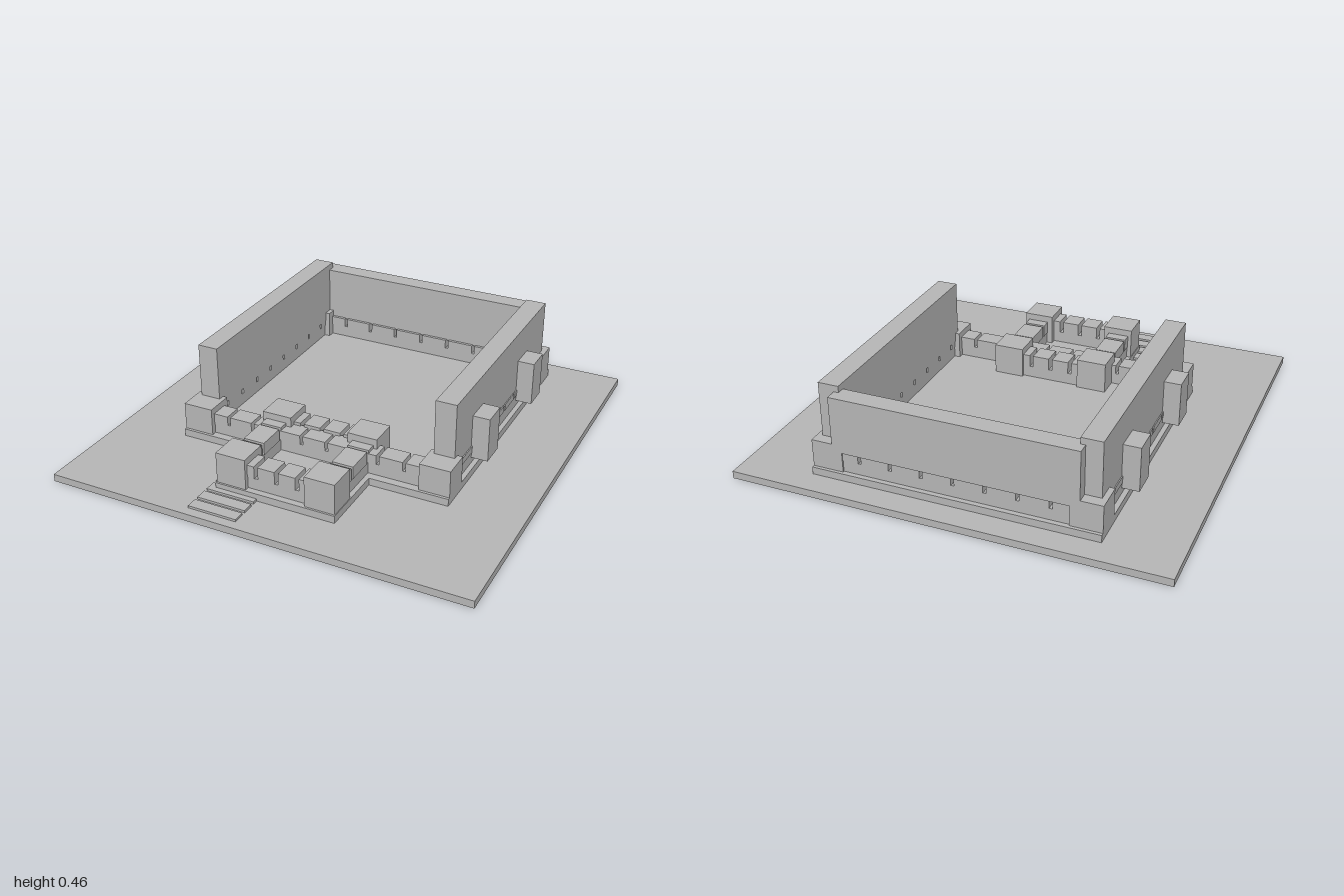
import * as THREE from 'three';

export function createModel() {
  const model = new THREE.Group();
  model.name = 'walledCourtyard';
  const stone = new THREE.MeshStandardMaterial({ color: 0xb4b4b4 });
  stone.name = 'grey stone';

  // box given by its limits on each axis
  function block(name, x0, x1, y0, y1, z0, z1, parent = model) {
    const mesh = new THREE.Mesh(new THREE.BoxGeometry(x1 - x0, y1 - y0, z1 - z0), stone);
    mesh.name = name;
    mesh.position.set((x0 + x1) / 2, (y0 + y1) / 2, (z0 + z1) / 2);
    parent.add(mesh);
  }

  // low wall along 'x' or 'z': a solid sill with blocks above, parted by narrow slots
  function slottedWall(name, axis, from, to, near, far, top, slots, gap = 0.015) {
    const wall = new THREE.Group();
    wall.name = name;
    const part = (label, a, b, y0, y1, inset) => axis === 'x'
      ? block(label, a, b, y0, y1, near + inset, far - inset, wall)
      : block(label, near + inset, far - inset, y0, y1, a, b, wall);
    part('sill', from, to, 0.07, 0.125, 0.003);
    let start = from;
    for (const s of [...slots, to + gap / 2]) {
      part('merlon', start, s - gap / 2, 0.125, top, 0);
      start = s + gap / 2;
    }
    model.add(wall);
  }

  const series = (count, first, step) => Array.from({ length: count }, (_, i) => first + i * step);

  // ground and raised plinth
  block('ground', -1, 1, 0, 0.035, -1, 1);
  block('plinth', -0.665, 0.665, 0.035, 0.07, -0.883, 0.455);
  block('gatePlinth', -0.29, 0.29, 0.035, 0.07, 0.455, 0.782);

  // flat steps in front of the gate
  for (let i = 0; i < 4; i++) {
    const z = 0.68 + i * 0.0735;
    block('step', -0.32, -0.085, 0.035, 0.046, z, z + 0.055);
  }

  // low slotted walls around the court
  slottedWall('frontWall', 'x', -0.53, 0.53, 0.332, 0.42, 0.17, series(8, -0.441, 0.126));
  slottedWall('backWall', 'x', -0.53, 0.53, -0.863, -0.765, 0.17, series(7, -0.438, 0.146));
  const sideSlots = series(8, -0.678, 0.134);
  slottedWall('rightWall', 'z', -0.74, 0.32, -0.645, -0.545, 0.157, sideSlots);
  slottedWall('leftWall', 'z', -0.74, 0.32, 0.545, 0.645, 0.157, sideSlots);

  // high back wall resting on the low one
  block('highBackWall', -0.565, 0.565, 0.165, 0.43, -0.87, -0.78);

  // gate court walls
  slottedWall('gateFrontWall', 'x', -0.15, 0.15, 0.66, 0.755, 0.185, [-0.1, 0, 0.1], 0.018);
  slottedWall('gateBackWall', 'x', -0.15, 0.15, 0.245, 0.342, 0.185, [-0.1, 0, 0.1], 0.018);

  for (const side of [-1, 1]) {
    const mirrored = (name, a, b, ...rest) =>
      block(name, Math.min(side * a, side * b), Math.max(side * a, side * b), ...rest);

    // corner piers
    mirrored('frontCornerPier', 0.52, 0.665, 0.07, 0.2, 0.305, 0.442);
    mirrored('backCornerPier', 0.52, 0.665, 0.07, 0.2, -0.868, -0.73);

    // high side wall and the turrets hung on it
    mirrored('highSideWall', 0.542, 0.64, 0.155, 0.46, -0.817, 0.335);
    for (const z of [-0.57, 0.013]) {
      mirrored('turret', 0.63, 0.72, 0.098, 0.31, z, z + 0.126);
    }

    // gate piers and the walls joining them
    mirrored('gateFrontPier', 0.143, 0.287, 0.07, 0.217, 0.632, 0.773);
    mirrored('gateBackPier', 0.143, 0.287, 0.07, 0.217, 0.232, 0.37);
    slottedWall('gateSideWall', 'z', 0.36, 0.64,
      side > 0 ? 0.168 : -0.27, side > 0 ? 0.27 : -0.168, 0.185, [0.425, 0.576]);
  }
  return model;
}
